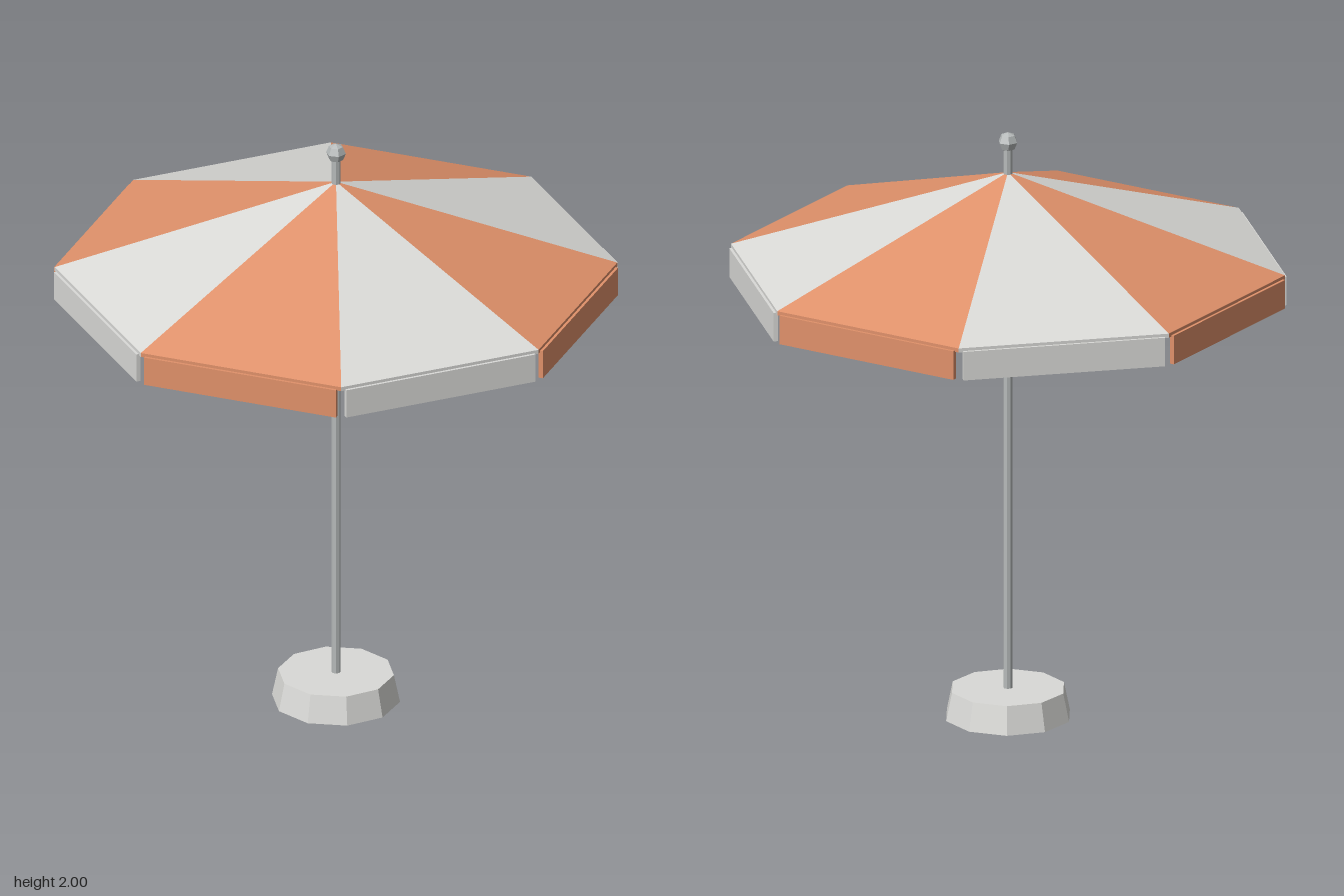
import * as THREE from 'three';

const SIDES = 8;
const STEP = (Math.PI * 2) / SIDES;
const RIM = 0.914;      // corner radius of the canopy
const RIM_Y = 1.563;
const APEX_Y = 1.863;
const THICK = 0.014;

const material = (name, color) => {
  const m = new THREE.MeshStandardMaterial({ color, flatShading: true });
  m.name = name;
  return m;
};

// One triangular canopy wedge with a thin rim, spanning one step from +z towards +x
function panelGeometry() {
  const corner = (a, y) => [Math.sin(a) * RIM, y, Math.cos(a) * RIM];
  const top = [0, APEX_Y, 0], under = [0, APEX_Y - THICK, 0];
  const a = corner(0, RIM_Y), b = corner(STEP, RIM_Y);
  const c = corner(0, RIM_Y - THICK), d = corner(STEP, RIM_Y - THICK);
  const faces = [top, a, b, under, d, c, a, c, d, a, d, b];
  const g = new THREE.BufferGeometry();
  g.setAttribute('position', new THREE.Float32BufferAttribute(faces.flat(), 3));
  g.computeVertexNormals();
  return g;
}

export function createModel() {
  const model = new THREE.Group();
  model.name = 'parasol';
  const orange = material('orange fabric', 0xe0916a);
  const white = material('off-white', 0xdadad7);
  const metal = material('grey metal', 0xb6baba);

  const add = (name, geometry, mat, parent = model) => {
    const mesh = new THREE.Mesh(geometry, mat);
    mesh.name = name;
    parent.add(mesh);
    return mesh;
  };

  // Weighted foot, pole and finial
  add('base', new THREE.CylinderGeometry(0.19, 0.21, 0.095, 10), white).position.y = 0.0475;
  add('pole', new THREE.CylinderGeometry(0.015, 0.015, 1.86, 8), metal).position.y = 0.09 + 0.93;
  add('finial', new THREE.SphereGeometry(0.033, 6, 4), metal).position.y = 1.967;

  // Canopy: alternating panels, each with a hanging flap and a rib at its corner
  const panel = panelGeometry();
  const flap = new THREE.BoxGeometry(0.67, 0.098, 0.015);
  const ribStart = new THREE.Vector2(0, 1.765), ribEnd = new THREE.Vector2(0.895, 1.553);
  const rib = new THREE.BoxGeometry(0.012, 0.012, ribStart.distanceTo(ribEnd));
  const ribTilt = Math.atan2(ribStart.y - ribEnd.y, ribEnd.x);

  for (let i = 0; i < SIDES; i++) {
    const segment = new THREE.Group();
    segment.name = 'canopySegment' + i;
    segment.rotation.y = i * STEP;
    const fabric = i % 2 ? white : orange;
    add('panel', panel, fabric, segment);

    const f = add('flap', flap, fabric, segment);
    const r = 0.846;
    f.position.set(Math.sin(STEP / 2) * r, 1.504, Math.cos(STEP / 2) * r);
    f.rotation.y = STEP / 2;

    const s = add('rib', rib, metal, segment);
    s.position.set(0, (ribStart.y + ribEnd.y) / 2, ribEnd.x / 2);
    s.rotation.x = ribTilt;
    model.add(segment);
  }
  return model;
}
